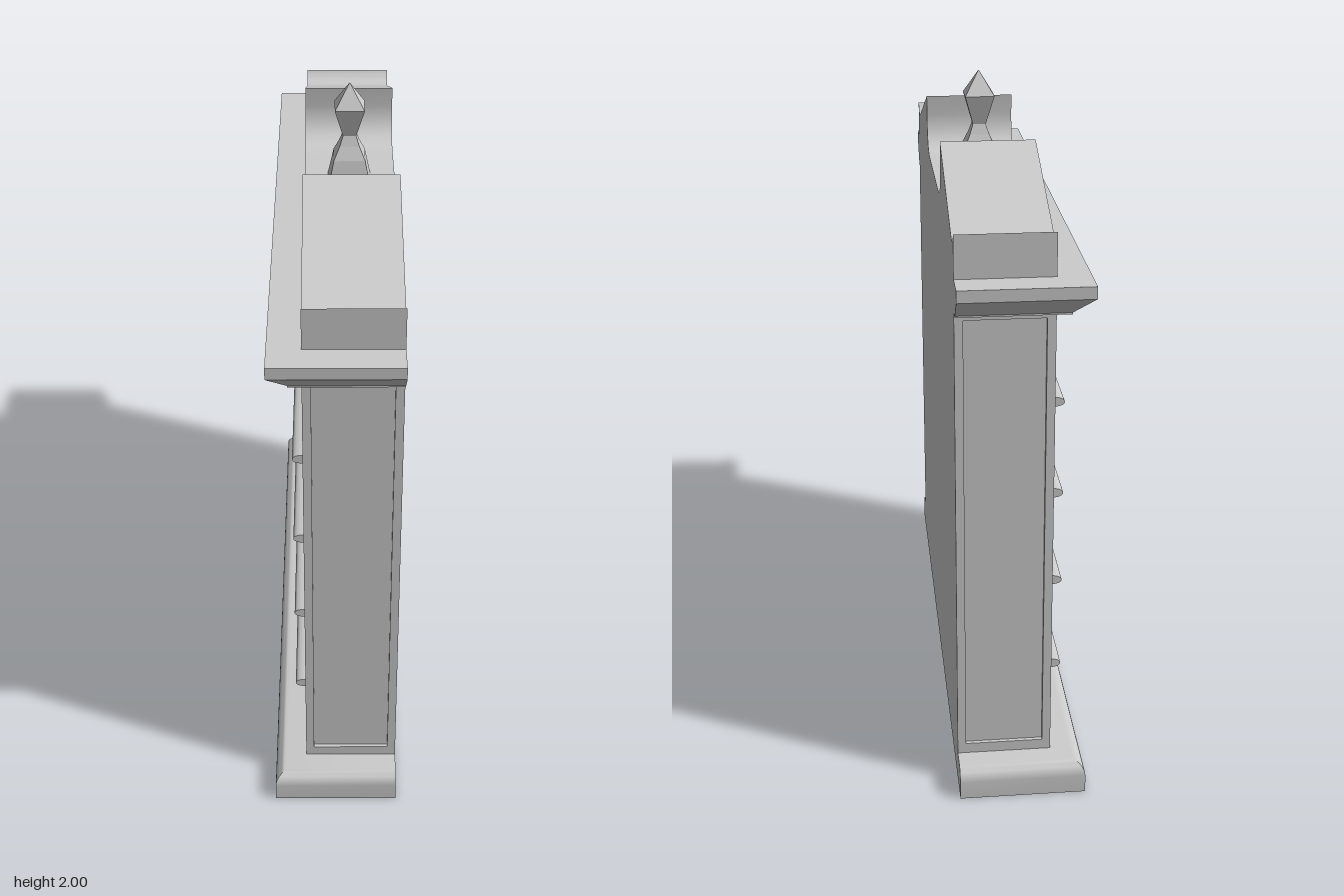
import * as THREE from 'three';
import { toCreasedNormals } from 'three/addons/utils/BufferGeometryUtils.js';

const FRONT = -0.095, BACK = 0.185, HALF = 0.845; // open side faces -x
const FLOOR = 0.095, CEIL = 1.5, WALL = 0.04;

export function createModel() {
  const group = new THREE.Group();
  group.name = 'bookcase';
  const material = new THREE.MeshStandardMaterial({ color: 0xcccccc });

  const add = (name, geometry, x = 0, y = 0, z = 0, mat = material) => {
    const mesh = new THREE.Mesh(geometry, mat);
    mesh.name = name;
    mesh.position.set(x, y, z);
    group.add(mesh);
    return mesh;
  };
  // Box given by its limits on each axis
  const slab = (name, x0, x1, y0, y1, z0, z1) =>
    add(name, new THREE.BoxGeometry(x1 - x0, y1 - y0, z1 - z0),
      (x0 + x1) / 2, (y0 + y1) / 2, (z0 + z1) / 2);
  const extrude = (shape, depth) => toCreasedNormals(
    new THREE.ExtrudeGeometry(shape, { depth, bevelEnabled: false, curveSegments: 12 }), 0.6);
  const rect = (T, x0, x1, y0, y1) => new T()
    .moveTo(x0, y0).lineTo(x1, y0).lineTo(x1, y1).lineTo(x0, y1).closePath();

  // Moulding around three sides, flush at the back; profile = [overhang, y]
  function moulding(profile) {
    const pos = [], idx = [];
    for (const [o, y] of profile) {
      const x = FRONT - o, z = HALF + o;
      pos.push(x, y, -z, x, y, z, BACK, y, z, BACK, y, -z);
    }
    for (let r = 0; r < profile.length - 1; r++) {
      for (let k = 0; k < 4; k++) {
        const a = r * 4 + k, b = r * 4 + (k + 1) % 4;
        idx.push(a, b, b + 4, a, b + 4, a + 4);
      }
    }
    const t = (profile.length - 1) * 4;
    idx.push(t, t + 1, t + 2, t, t + 2, t + 3, 0, 2, 1, 0, 3, 2);
    const g = new THREE.BufferGeometry();
    g.setAttribute('position', new THREE.Float32BufferAttribute(pos, 3));
    g.setIndex(idx);
    return toCreasedNormals(g, 0.6);
  }

  // Plinth with rounded upper edge
  const plinth = [[0.095, 0], [0.095, 0.055]];
  for (let i = 1; i <= 6; i++) {
    const a = (i / 6) * Math.PI / 2;
    plinth.push([0.06 + 0.035 * Math.cos(a), 0.055 + 0.04 * Math.sin(a)]);
  }
  add('plinth', moulding(plinth));

  // Cornice with sloped underside
  add('cornice', moulding([[0.038, CEIL], [0.038, 1.505], [0.095, 1.56], [0.095, 1.595]]));

  // Broken pediment, drawn in z and y and extruded through the depth
  const crest = new THREE.Shape();
  crest.moveTo(-HALF, 1.55);
  crest.lineTo(HALF, 1.55);
  crest.lineTo(HALF, 1.72);
  crest.bezierCurveTo(0.825, 1.69, 0.795, 1.68, 0.76, 1.693);
  crest.lineTo(0.306, 1.853);
  crest.lineTo(0.31, 1.79);
  crest.bezierCurveTo(0.308, 1.72, 0.27, 1.677, 0.19, 1.676);
  crest.lineTo(-0.225, 1.676);
  crest.bezierCurveTo(-0.31, 1.677, -0.348, 1.72, -0.35, 1.79);
  crest.lineTo(-0.346, 1.853);
  crest.lineTo(-0.765, 1.693);
  crest.bezierCurveTo(-0.8, 1.68, -0.83, 1.69, -HALF, 1.72);
  crest.closePath();
  add('pediment', extrude(crest, BACK - FRONT), BACK).rotation.y = -Math.PI / 2;

  // Square finial in the gap of the pediment
  const finial = [[0.066, 1.676], [0.048, 1.765], [0.03, 1.805], [0.02, 1.835], [0.045, 1.925], [0, 2]]
    .map(([half, y]) => new THREE.Vector2(half * Math.SQRT2, y));
  const flat = material.clone();
  flat.flatShading = true;
  add('finial', new THREE.LatheGeometry(finial, 4, Math.PI / 4), 0.043, 0, -0.025, flat);

  // Carcass
  slab('backPanel', 0.168, BACK, FLOOR, CEIL, -HALF, HALF);
  slab('bottomBoard', FRONT, 0.168, FLOOR - 0.01, 0.115, -HALF + WALL, HALF - WALL);
  slab('topBoard', FRONT, 0.168, 1.48, CEIL + 0.01, -HALF + WALL, HALF - WALL);

  // Side walls: a frame around a recessed panel
  for (const s of [1, -1]) {
    const frame = rect(THREE.Shape, FRONT, BACK, FLOOR, CEIL + 0.01);
    frame.holes.push(rect(THREE.Path, -0.07, 0.16, 0.127, 1.478));
    add('sideFrame', extrude(frame, 0.015), 0, 0, s > 0 ? HALF - 0.015 : -HALF);
    const z = [s * (HALF - WALL), s * (HALF - 0.012)].sort((a, b) => a - b);
    slab('sidePanel', FRONT, 0.17, FLOOR, CEIL, z[0], z[1]);
  }

  // Uprights between the three bays
  for (const z of [-0.3, 0.3]) {
    slab('divider', FRONT + 0.003, 0.17, FLOOR, CEIL, z - 0.0125, z + 0.0125);
  }

  // Shelves with a rounded nose in front of the carcass
  const shelf = new THREE.Shape();
  shelf.moveTo(FRONT, -0.014);
  shelf.lineTo(0.17, -0.014);
  shelf.lineTo(0.17, 0.014);
  shelf.lineTo(FRONT, 0.014);
  shelf.bezierCurveTo(-0.113, 0.014, -0.125, 0.008, -0.125, 0);
  shelf.bezierCurveTo(-0.125, -0.008, -0.113, -0.014, FRONT, -0.014);
  const shelfGeometry = extrude(shelf, 1.64);
  for (let i = 0; i < 4; i++) add('shelf', shelfGeometry, 0, 0.377 + i * 0.281, -0.82);

  return group;
}
